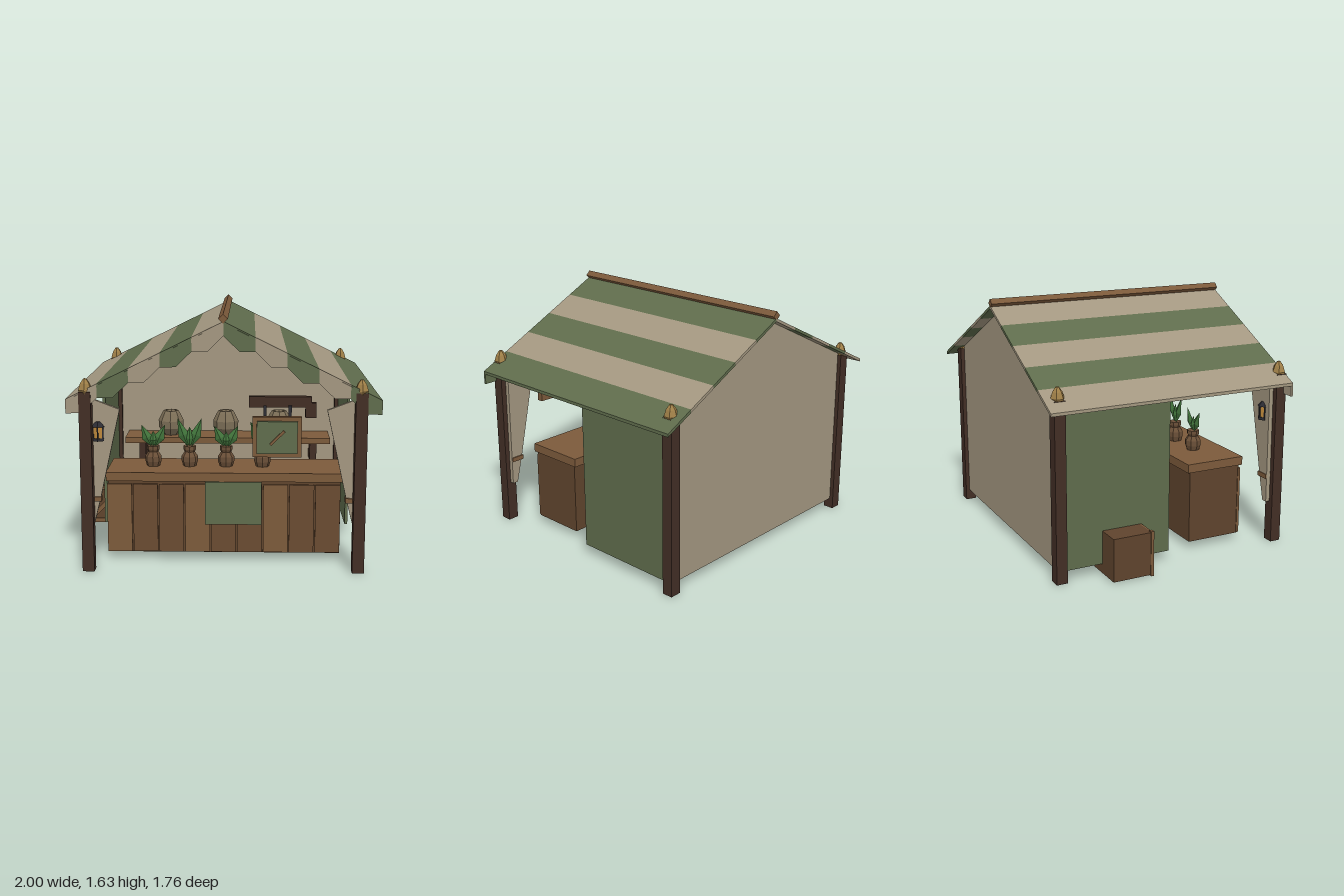
import * as THREE from 'three';

const CX = 0.0275, HALF = 0.9725, RIDGE = 1.585, SLOPE = 0.479 / HALF;
const C = {
  green: 0x5f6c4c, cream: 0xa39780, post: 0x422e25, wood: 0x7c5a3b, dark: 0x5f442d, plank: 0x6a4b31,
  gold: 0xa08048, pot: 0x6b5038, urn: 0x7d6f57, leaf: 0x42753c, iron: 0x2c2c33, glow: 0xc08a3c,
};
const mats = {};
function mat(key) {
  if (!mats[key]) mats[key] = new THREE.MeshStandardMaterial({ color: C[key], flatShading: true, side: THREE.DoubleSide });
  return mats[key];
}

export function createModel() {
  const root = new THREE.Group();
  root.name = 'marketStall';

  function add(name, geo, color, parent = root) {
    const m = new THREE.Mesh(geo, mat(color));
    m.name = name;
    parent.add(m);
    return m;
  }
  // box given by its minimum and maximum on each axis
  function box(name, color, x0, x1, y0, y1, z0, z1, parent = root) {
    const m = add(name, new THREE.BoxGeometry(x1 - x0, y1 - y0, z1 - z0), color, parent);
    m.position.set((x0 + x1) / 2, (y0 + y1) / 2, (z0 + z1) / 2);
    return m;
  }
  // xy outline extruded from z0 to z1
  function slab(name, color, pts, z0, z1, parent = root) {
    const shape = new THREE.Shape(pts.map(([x, y]) => new THREE.Vector2(x, y)));
    const geo = new THREE.ExtrudeGeometry(shape, { depth: z1 - z0, bevelEnabled: false });
    return add(name, geo.translate(0, 0, z0), color, parent);
  }
  function lathe(name, color, pts, sides, parent = root) {
    const profile = pts.map(([r, y]) => new THREE.Vector2(r, y));
    return add(name, new THREE.LatheGeometry(profile, sides), color, parent);
  }
  function group(name) {
    const g = new THREE.Group();
    g.name = name;
    root.add(g);
    return g;
  }
  const roofY = (u) => RIDGE - SLOPE * u;

  // posts with faceted finials
  for (const x of [-0.826, 0.875]) {
    for (const z of [0.767, -0.793]) {
      box('post', 'post', x - 0.0375, x + 0.0375, 0, 1.15, z - 0.036, z + 0.036);
      const f = lathe('finial', 'gold', [[0, 1.135], [0.036, 1.135], [0.045, 1.16], [0.032, 1.2], [0.012, 1.228], [0, 1.232]], 6);
      f.position.set(x, 0, z);
    }
  }

  // striped roof and scalloped front valance
  const roof = group('roof');
  const w = HALF / 5;
  for (const s of [-1, 1]) {
    for (let k = 0; k < 5; k++) {
      const a = k * w, b = a + w, m = a + w / 2;
      const color = (k % 2 === 0) === (s === 1) ? 'green' : 'cream';
      const p = (u, drop) => [CX + s * u, roofY(u) - drop];
      slab('roofStripe', color, [p(a, 0), p(b, 0), p(b, 0.02), p(a, 0.02)], -0.885, 0.797, roof);
      slab('valanceScallop', color, [p(a, 0.01), p(b, 0.01), p(b, 0.088), p(m, 0.135), p(a, 0.088)], 0.785, 0.8, roof);
    }
  }
  const pole = box('ridgePole', 'wood', -0.021, 0.021, -0.021, 0.021, -0.885, 0.8, roof);
  pole.position.set(0.025, 1.6, -0.0425);
  pole.rotation.z = Math.PI / 4;

  // cloth walls
  slab('backWall', 'cream', [[-0.826, 0.07], [0.875, 0.07], [0.875, roofY(0.85) - 0.015], [CX, RIDGE - 0.015],
    [-0.826, roofY(0.85) - 0.015]], -0.803, -0.785);
  for (const x of [-0.826, 0.875]) box('sideWall', 'green', x - 0.01, x + 0.01, 0.07, 1.14, -0.79, -0.04);

  // tied front curtains
  for (const s of [-1, 1]) {
    const pts = [[0.855, 1.12], [0.8, 1.09], [0.645, 1.03], [0.775, 0.455], [0.82, 0.28], [0.86, 0.28]];
    slab('curtain', 'cream', pts.map(([u, y]) => [0.0245 + s * u, y]), 0.7, 0.728);
    const tie = box('curtainTie', 'wood', -0.045, 0.045, -0.015, 0.015, -0.024, 0.024);
    tie.position.set(0.0245 + s * 0.812, 0.455, 0.716);
  }

  // counter with planked front, top and hanging cloth
  const counter = group('counter');
  box('counterBody', 'dark', -0.728, 0.778, 0.05, 0.535, 0.175, 0.545, counter);
  for (let i = 0; i < 9; i++) {
    const x = -0.733 + i * 0.1687;
    box('counterPlank', i % 3 === 0 ? 'wood' : 'plank', x, x + 0.16, 0.055, 0.508, 0.54, 0.557, counter);
  }
  box('counterTop', 'wood', -0.738, 0.788, 0.53, 0.587, 0.155, 0.568, counter);
  box('counterCloth', 'green', -0.097, 0.268, 0.247, 0.53, 0.566, 0.58, counter);

  // potted plants: fan of thin faceted leaves
  [[-0.447, 0.145], [-0.206, 0.185], [0.035, 0.142], [0.275, 0.165]].forEach(([x, h]) => {
    const plant = group('pottedPlant');
    plant.position.set(x, 0.585, 0.36);
    lathe('pot', 'pot', [[0, 0], [0.042, 0], [0.054, 0.035], [0.054, 0.068], [0.034, 0.098], [0.042, 0.115],
      [0.042, 0.137], [0, 0.137]], 8, plant);
    for (const t of [-1, 0, 1]) {
      const L = t ? h * 1.1 : h * 0.72;
      const geo = new THREE.OctahedronGeometry(1);
      const pos = geo.attributes.position;
      for (let i = 0; i < pos.count; i++) {
        const y = pos.getY(i);
        // raise the base to the pot rim and put the widest part below the middle
        pos.setXYZ(i, pos.getX(i) * 0.036, y > 0.5 ? L : y < -0.5 ? 0 : L * 0.42, pos.getZ(i) * 0.018);
      }
      const leaf = add('leaf', geo, 'leaf', plant);
      leaf.position.set(t * 0.012, 0.13, 0);
      leaf.rotation.z = -t * Math.atan2(0.066, h);
    }
  });

  // back shelf with brackets and round urns
  const shelf = group('backShelf');
  box('shelfBoard', 'wood', -0.74, 0.79, 0.545, 0.588, -0.785, -0.52, shelf);
  for (const x of [-0.62, 0.67]) box('shelfBracket', 'post', x - 0.025, x + 0.025, 0.39, 0.545, -0.785, -0.6, shelf);
  for (const x of [-0.405, 0.01, 0.412]) {
    const urn = lathe('urn', 'urn', [[0, 0], [0.052, 0], [0.092, 0.055], [0.095, 0.11], [0.068, 0.165],
      [0.055, 0.185], [0.042, 0.185], [0.03, 0.15], [0, 0.15]], 8, shelf);
    urn.position.set(x, 0.588, -0.65);
  }

  // hanging sign on its arm
  const sign = group('hangingSign');
  box('signArm', 'post', 0.183, 0.567, 1.062, 1.128, 0.765, 0.808, sign);
  box('signArmEnd', 'post', 0.53, 0.597, 0.997, 1.09, 0.765, 0.806, sign);
  for (const x of [0.282, 0.435]) box('signHanger', 'iron', x - 0.01, x + 0.01, 1.0, 1.075, 0.8, 0.822, sign);
  box('signBoard', 'wood', 0.207, 0.506, 0.76, 1.01, 0.81, 0.852, sign);
  box('signPanel', 'green', 0.232, 0.481, 0.785, 0.985, 0.85, 0.87, sign);
  const twig = box('signTwig', 'wood', -0.06, 0.06, -0.008, 0.008, -0.006, 0.006, sign);
  twig.position.set(0.357, 0.885, 0.874);
  twig.rotation.z = Math.PI / 4;

  // lantern beside the front post
  const lantern = group('lantern');
  lantern.position.set(-0.757, 0.83, 0.715);
  const tube = (name, color, r0, r1, y0, y1) => {
    add(name, new THREE.CylinderGeometry(r1, r0, y1 - y0, 6), color, lantern).position.y = (y0 + y1) / 2;
  };
  tube('lanternBase', 'iron', 0.042, 0.042, 0, 0.018);
  tube('lanternGlass', 'glow', 0.033, 0.033, 0.018, 0.09);
  tube('lanternCap', 'iron', 0.046, 0.02, 0.09, 0.122);
  tube('lanternKnob', 'iron', 0.012, 0.012, 0.122, 0.14);
  for (let i = 0; i < 6; i++) {
    const a = (i * Math.PI) / 3;
    const bar = box('lanternBar', 'iron', -0.004, 0.004, 0.01, 0.095, -0.004, 0.004, lantern);
    bar.position.x = Math.sin(a) * 0.035;
    bar.position.z = Math.cos(a) * 0.035;
  }

  // crate with a framed, cross-braced front
  const crate = group('crate');
  box('crateBody', 'dark', -0.995, -0.725, 0.008, 0.288, -0.51, -0.25, crate);
  for (const x of [-1, -0.75]) box('crateUpright', 'wood', x, x + 0.03, 0, 0.295, -0.255, -0.235, crate);
  for (const y of [0.012, 0.258]) box('crateRail', 'wood', -0.995, -0.725, y, y + 0.03, -0.255, -0.238, crate);
  const brace = box('crateBrace', 'wood', -0.155, 0.155, -0.015, 0.015, -0.008, 0.008, crate);
  brace.position.set(-0.86, 0.15, -0.246);
  brace.rotation.z = Math.PI / 4;

  return root;
}
